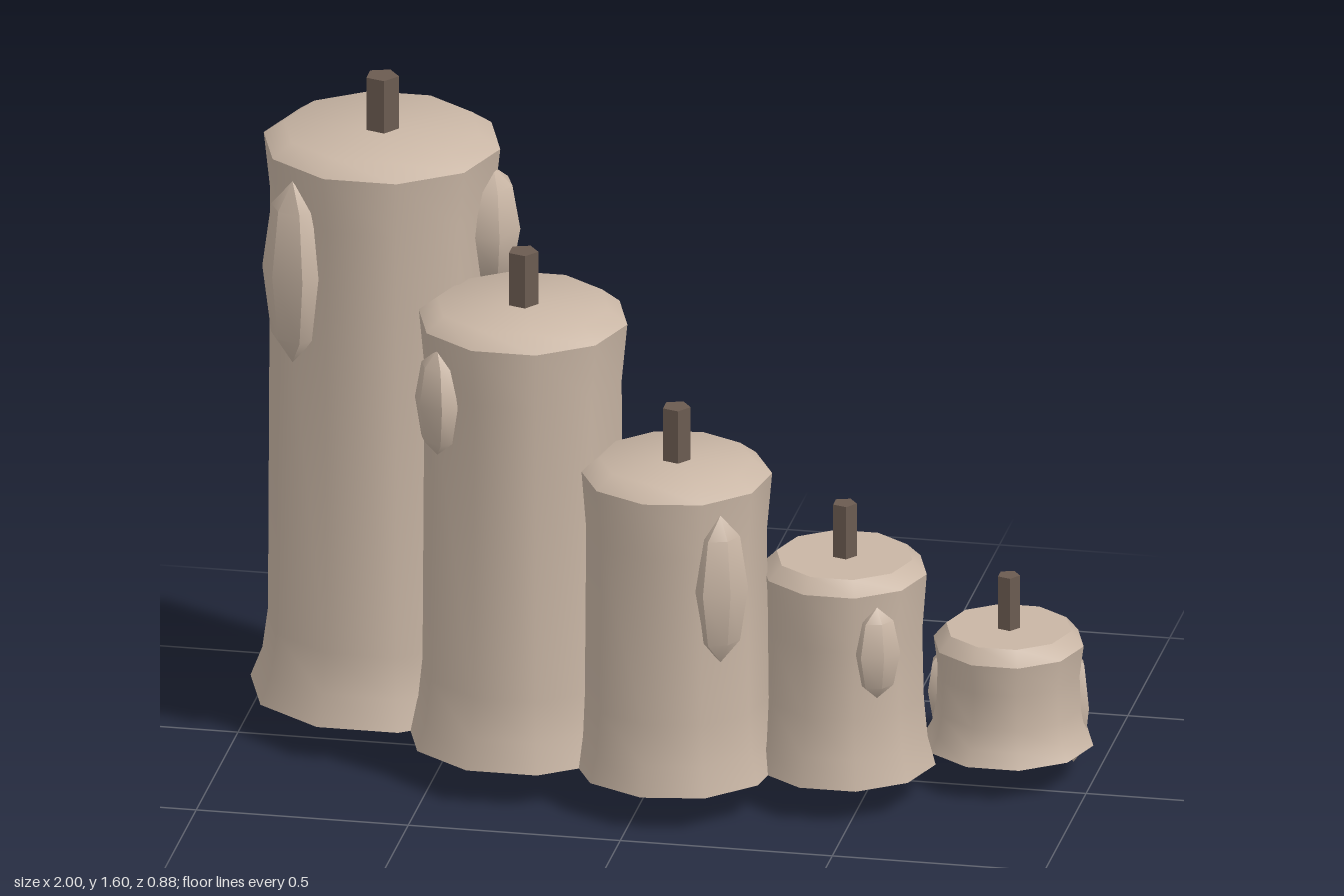
import * as THREE from 'three';
import { toCreasedNormals } from 'three/addons/utils/BufferGeometryUtils.js';

const CREASE = 0.7; // keeps rims sharp while the ten sides stay smooth
const BASE_Y = 0.09;

// drips: [x, z direction from the axis, bottom y, top y, half width]
const CANDLES = [
  { x: -0.69, z: -0.15, base: 0.31, rim: 0.279, top: 0.23, rimY: 1.442, topY: 1.475, wick: 0.04, turn: 0,
    drips: [[-0.18, 0.21, 0.955, 1.405, 0.075], [1, 0.02, 1.1, 1.4, 0.08]] },
  { x: -0.31, z: 0.09, base: 0.27, rim: 0.246, top: 0.202, rimY: 1.125, topY: 1.16, wick: 0.036, turn: 0,
    drips: [[-0.18, 0.165, 0.83, 1.09, 0.06], [-0.01, -1, 0.69, 1.09, 0.064]] },
  { x: 0.073, z: 0.2, base: 0.24, rim: 0.222, top: 0.178, rimY: 0.812, topY: 0.845, wick: 0.034, turn: Math.PI / 20,
    drips: [[0.14, 0.165, 0.41, 0.775, 0.06], [0.06, -1, 0.59, 0.77, 0.06]] },
  { x: 0.45, z: 0.1, base: 0.215, rim: 0.194, top: 0.16, rimY: 0.562, topY: 0.595, wick: 0.029, turn: 0,
    drips: [[0.11, 0.155, 0.305, 0.53, 0.05], [-0.99, -0.14, 0.24, 0.53, 0.05]] },
  { x: 0.8, z: -0.088, base: 0.2, rim: 0.177, top: 0.147, rimY: 0.335, topY: 0.37, wick: 0.027, turn: 0,
    drips: [[0.13, -0.1, 0.005, 0.295, 0.045], [-0.18, -0.045, 0.1, 0.29, 0.045]] },
];

export function createModel() {
  const model = new THREE.Group();
  model.name = 'candleCluster';
  const wax = new THREE.MeshStandardMaterial({ color: 0xc9b6a5 });
  wax.name = 'wax';
  const wickBrown = new THREE.MeshStandardMaterial({ color: 0x6b5b51 });
  wickBrown.name = 'wickBrown';

  const add = (parent, name, geometry, material) => {
    const mesh = new THREE.Mesh(toCreasedNormals(geometry, CREASE), material);
    mesh.name = name;
    parent.add(mesh);
    return mesh;
  };

  for (const c of CANDLES) {
    const candle = new THREE.Group();
    candle.name = 'candle';
    candle.position.set(c.x, 0, c.z);
    model.add(candle);

    // Body: flared foot, slim column, lipped rim and bevelled top
    const height = c.rimY - BASE_Y;
    const neck = c.rim * 0.945;
    const foot = Math.min(0.17, height * 0.35);
    const profile = [
      [0, BASE_Y],
      [c.base, BASE_Y],
      [THREE.MathUtils.lerp(c.base, neck, 0.6), BASE_Y + foot * 0.42],
      [neck * 1.02, BASE_Y + foot],
      [neck, c.rimY - Math.min(0.14, height * 0.3)],
      [c.rim, c.rimY],
      [c.top, c.topY],
      [0, c.topY],
    ].map(([r, y]) => new THREE.Vector2(r, y));
    add(candle, 'waxBody', new THREE.LatheGeometry(profile, 10, Math.PI / 2 + c.turn), wax);

    // Wick: five-sided stub
    const wick = new THREE.CylinderGeometry(c.wick, c.wick, 0.15, 5, 1, false, Math.PI / 2);
    wick.translate(0, c.topY + 0.055, 0);
    add(candle, 'wick', wick, wickBrown);

    // Drips: elongated beads half sunk into the wax
    for (const [dx, dz, y0, y1, half] of c.drips) {
      const bead = new THREE.SphereGeometry(1, 6, 4);
      bead.scale(half * 0.8, (y1 - y0) / 2, half / 0.866);
      const drip = add(candle, 'waxDrip', bead, wax);
      const len = Math.hypot(dx, dz);
      drip.position.set((dx / len) * neck, (y0 + y1) / 2, (dz / len) * neck);
      drip.rotation.y = Math.atan2(-dz, dx);
    }
  }
  return model;
}
